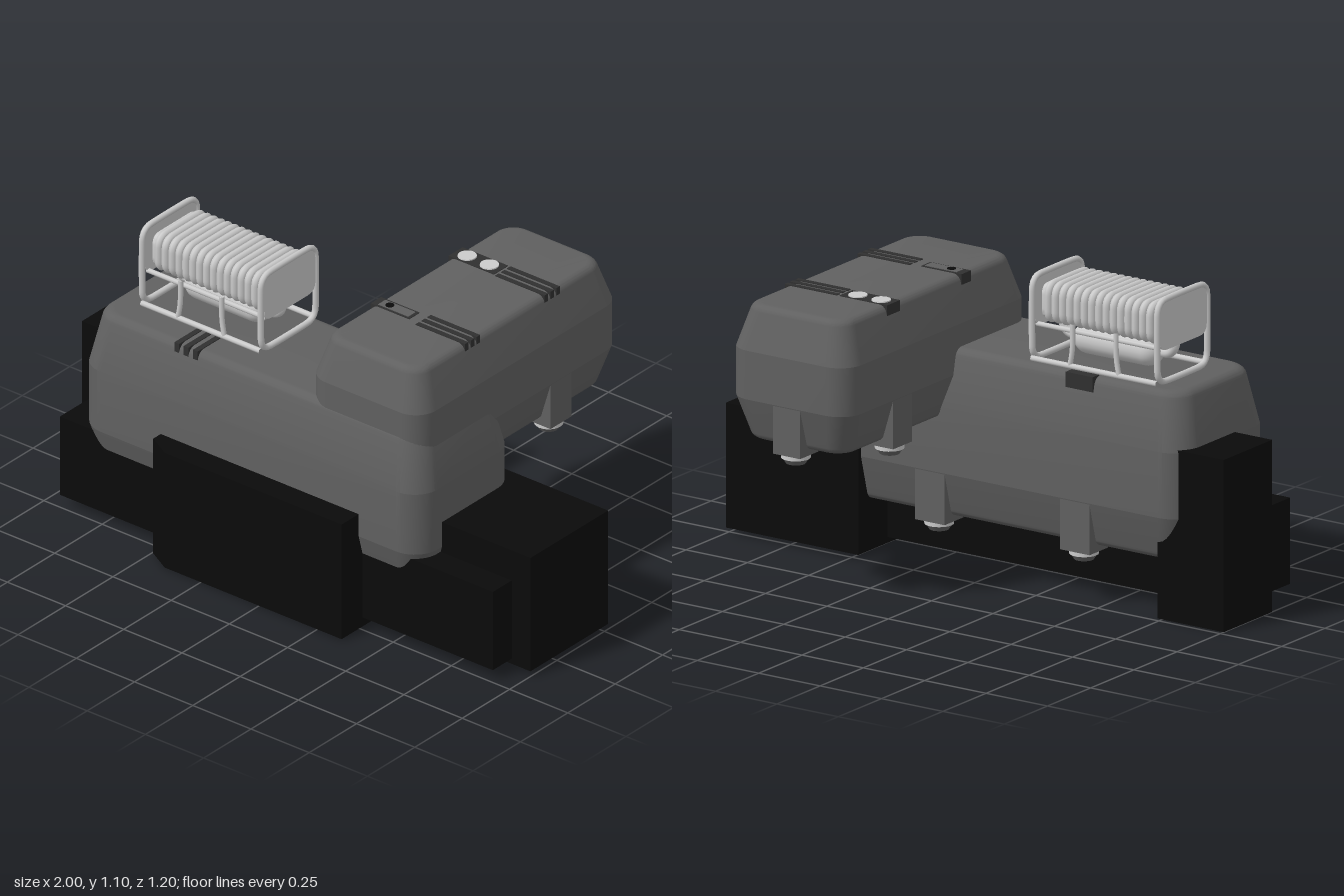
import * as THREE from 'three';
import { toCreasedNormals } from 'three/addons/utils/BufferGeometryUtils.js';

const mat = (color) => new THREE.MeshStandardMaterial({ color });
const HULL = mat(0x606060), BLACK = mat(0x0a0a0a), LIGHT = mat(0xcccccc), DARK = mat(0x303030);

function add(parent, name, geometry, material, x = 0, y = 0, z = 0) {
  const mesh = new THREE.Mesh(geometry, material);
  mesh.name = name;
  mesh.position.set(x, y, z);
  parent.add(mesh);
  return mesh;
}

// box given by its limits on each axis
function box(parent, name, material, [x0, x1], [y0, y1], [z0, z1]) {
  return add(parent, name, new THREE.BoxGeometry(x1 - x0, y1 - y0, z1 - z0), material,
    (x0 + x1) / 2, (y0 + y1) / 2, (z0 + z1) / 2);
}

// stack of rounded-rectangle rings; profile holds [inset, y] from bottom to top
function hullGeometry([x0, x1], [z0, z1], radius, profile) {
  const pos = [], idx = [], seg = 10, n = 4 * (seg + 1);
  const cx = (x0 + x1) / 2, cz = (z0 + z1) / 2;
  for (const [inset, y] of profile) {
    const r = Math.max(radius - inset * 0.4, 0.02);
    const hx = (x1 - x0) / 2 - inset - r, hz = (z1 - z0) / 2 - inset - r;
    for (let q = 0; q < 4; q++) for (let s = 0; s <= seg; s++) {
      const a = (q + s / seg) * Math.PI / 2;
      const sx = q === 0 || q === 3 ? 1 : -1, sz = q < 2 ? 1 : -1;
      pos.push(cx + sx * hx + r * Math.cos(a), y, cz + sz * hz + r * Math.sin(a));
    }
  }
  const last = (profile.length - 1) * n, bottom = profile.length * n;
  pos.push(cx, profile[0][1], cz, cx, profile[profile.length - 1][1], cz);
  for (let j = 0; j < n; j++) {
    const k = (j + 1) % n;
    for (let i = 0; i < last; i += n) idx.push(i + j, i + n + j, i + k, i + k, i + n + j, i + n + k);
    idx.push(bottom, j, k, bottom + 1, last + k, last + j);
  }
  const g = new THREE.BufferGeometry();
  g.setAttribute('position', new THREE.Float32BufferAttribute(pos, 3));
  g.setIndex(idx);
  return toCreasedNormals(g, 0.22);
}

// vertical mid band, tapered bands above and below, rounded rims
function hullProfile(bottom, low, high, top, taper, r) {
  const p = [];
  for (let i = 0; i <= 8; i++) {
    const a = (i / 8) * Math.PI * 0.42;
    p.push([taper + r * (1 - Math.sin(a)), bottom + r * (1 - Math.cos(a))]);
  }
  p.push([0, low], [0, high]);
  for (let i = 8; i >= 0; i--) {
    const a = (i / 8) * Math.PI * 0.42;
    p.push([taper + r * (1 - Math.sin(a)), top - r * (1 - Math.cos(a))]);
  }
  return p;
}

// leg tab with a tapered rubber foot under it
function foot(parent, x, z, y0, y1, wx, wz) {
  box(parent, 'legTab', HULL, [x - wx / 2, x + wx / 2], [y0, y1], [z - wz / 2, z + wz / 2]);
  add(parent, 'footCollar', new THREE.CylinderGeometry(0.05, 0.05, 0.016, 24), LIGHT, x, y0 - 0.008, z);
  add(parent, 'footPad', new THREE.CylinderGeometry(0.046, 0.034, 0.02, 24), HULL, x, y0 - 0.025, z);
}

// rounded rectangle in the z/y plane, as a shape
function roundRect(z0, z1, y0, y1, r) {
  const s = new THREE.Shape();
  s.moveTo(z0 + r, y0).lineTo(z1 - r, y0).quadraticCurveTo(z1, y0, z1, y0 + r);
  s.lineTo(z1, y1 - r).quadraticCurveTo(z1, y1, z1 - r, y1);
  s.lineTo(z0 + r, y1).quadraticCurveTo(z0, y1, z0, y1 - r);
  s.lineTo(z0, y0 + r).quadraticCurveTo(z0, y0, z0 + r, y0);
  return s;
}

function hoop(parent, name, x, shape, radius) {
  const pts = shape.getPoints(6).slice(0, -1).map((p) => new THREE.Vector3(x, p.y, p.x));
  const path = new THREE.CatmullRomCurve3(pts, true, 'centripetal');
  add(parent, name, new THREE.TubeGeometry(path, 72, radius, 8, true), LIGHT);
}

function rod(parent, name, points, radius) {
  const path = new THREE.CatmullRomCurve3(points.map((p) => new THREE.Vector3(...p)), false, 'centripetal');
  add(parent, name, new THREE.TubeGeometry(path, 16, radius, 8), LIGHT);
}

function slab(parent, name, shape, x0, x1) {
  const g = new THREE.ExtrudeGeometry(shape, { depth: x1 - x0, bevelEnabled: false, curveSegments: 6 });
  g.rotateY(-Math.PI / 2).translate(x1, 0, 0);
  add(parent, name, toCreasedNormals(g, 0.6), LIGHT);
}

function buildReel() {
  const reel = new THREE.Group();
  reel.name = 'coilUnit';
  const midX = -0.445;
  // ribbed coil
  const section = roundRect(0.09, 0.32, 0.935, 1.055, 0.035);
  slab(reel, 'coilCore', section, -0.68, -0.21);
  for (let i = 0; i < 15; i++) hoop(reel, 'coilRib', -0.652 + i * 0.0296, section, 0.0145);
  for (const s of [-1, 1]) {
    const x = midX + s * 0.255;
    // end frame and plate
    hoop(reel, 'endFrame', x, roundRect(0.062, 0.35, 0.8, 1.085, 0.05), 0.011);
    slab(reel, 'endPlate', roundRect(0.07, 0.34, 0.91, 1.08, 0.04), x - 0.006, x + 0.006);
    // pipe from coil to tank
    rod(reel, 'tankPipe', [[midX + s * 0.225, 0.93, 0.205], [midX + s * 0.222, 0.885, 0.205],
      [midX + s * 0.2, 0.865, 0.205], [midX + s * 0.15, 0.862, 0.205]], 0.018);
  }
  // tank
  const tank = add(reel, 'tank', new THREE.CapsuleGeometry(0.055, 0.24, 8, 20), LIGHT, midX, 0.862, 0.205);
  tank.rotation.z = Math.PI / 2;
  // rails and stays along both sides
  for (const z of [0.06, 0.352]) {
    const zi = z < 0.2 ? z + 0.03 : z - 0.03;
    rod(reel, 'bottomRail', [[-0.7, 0.802, z], [-0.19, 0.802, z]], 0.01);
    rod(reel, 'upperRail', [[-0.7, 0.915, zi], [-0.19, 0.915, zi]], 0.009);
    for (const s of [-1, 1])
      rod(reel, 'stay', [[midX + s * 0.1, 0.8, z], [midX + s * 0.09, 0.86, z], [midX + s * 0.088, 0.95, z]], 0.009);
  }
  return reel;
}

export function createModel() {
  const model = new THREE.Group();
  model.name = 'equipmentCases';

  // lower case lying across
  const lower = new THREE.Group();
  lower.name = 'lowerCase';
  model.add(lower);
  add(lower, 'lowerHull', hullGeometry([-0.85, 0.62], [-0.005, 0.51], 0.1,
    hullProfile(0.2, 0.36, 0.59, 0.79, 0.035, 0.035)), HULL);
  for (const x of [-0.41, 0.18]) foot(lower, x, 0.05, 0.18, 0.38, 0.12, 0.108);
  for (let i = 0; i < 3; i++)
    box(lower, 'ventSlot', DARK, [-0.46 + i * 0.04, -0.44 + i * 0.04], [0.745, 0.793], [0.35, 0.475]);
  box(lower, 'rearLatch', DARK, [-0.465, -0.355], [0.74, 0.793], [0.022, 0.06]);

  // upper case pointing to the back
  const upper = new THREE.Group();
  upper.name = 'upperCase';
  model.add(upper);
  add(upper, 'upperHull', hullGeometry([0.1, 0.59], [-0.6, 0.47], 0.085,
    hullProfile(0.55, 0.7, 0.87, 1.02, 0.038, 0.03)), HULL);
  for (const x of [0.153, 0.537]) foot(upper, x, -0.275, 0.53, 0.71, 0.105, 0.11);
  foot(upper, 0.345, -0.545, 0.53, 0.71, 0.11, 0.108);
  for (const z of [-0.275, 0.145]) for (let i = -1; i <= 1; i++)
    box(upper, 'ventSlot', DARK, [0.34, 0.552], [0.98, 1.023], [z + i * 0.031 - 0.009, z + i * 0.031 + 0.009]);
  box(upper, 'buttonPanel', DARK, [0.135, 0.33], [0.98, 1.022], [-0.315, -0.24]);
  for (const x of [0.185, 0.28])
    add(upper, 'button', new THREE.CylinderGeometry(0.032, 0.034, 0.012, 24), LIGHT, x, 1.02, -0.278);
  box(upper, 'socketPanel', DARK, [0.135, 0.3], [0.98, 1.022], [0.115, 0.17]);
  box(upper, 'socketPlate', HULL, [0.16, 0.29], [0.99, 1.024], [0.123, 0.162]);
  add(upper, 'socket', new THREE.CylinderGeometry(0.015, 0.015, 0.01, 16), BLACK, 0.195, 1.021, 0.143);

  model.add(buildReel());

  // dark blocks around the base
  const base = new THREE.Group();
  base.name = 'baseBlocks';
  model.add(base);
  box(base, 'rightBlock', BLACK, [-1, -0.73], [0, 0.6], [0.02, 0.3]);
  box(base, 'leftBlock', BLACK, [0.46, 1], [0.02, 0.455], [-0.02, 0.39]);
  box(base, 'longBlock', BLACK, [-0.94, 0.92], [0.04, 0.34], [0.15, 0.49]);
  const plan = new THREE.Shape();
  plan.moveTo(-0.49, -0.39).lineTo(-0.49, -0.55).lineTo(-0.4, -0.6).lineTo(0.36, -0.6).lineTo(0.36, -0.39);
  plan.closePath();
  const front = new THREE.ExtrudeGeometry(plan, { depth: 0.44, bevelEnabled: false });
  front.rotateX(-Math.PI / 2);
  add(base, 'frontBlock', front, BLACK, 0, 0.005, 0);
  return model;
}
